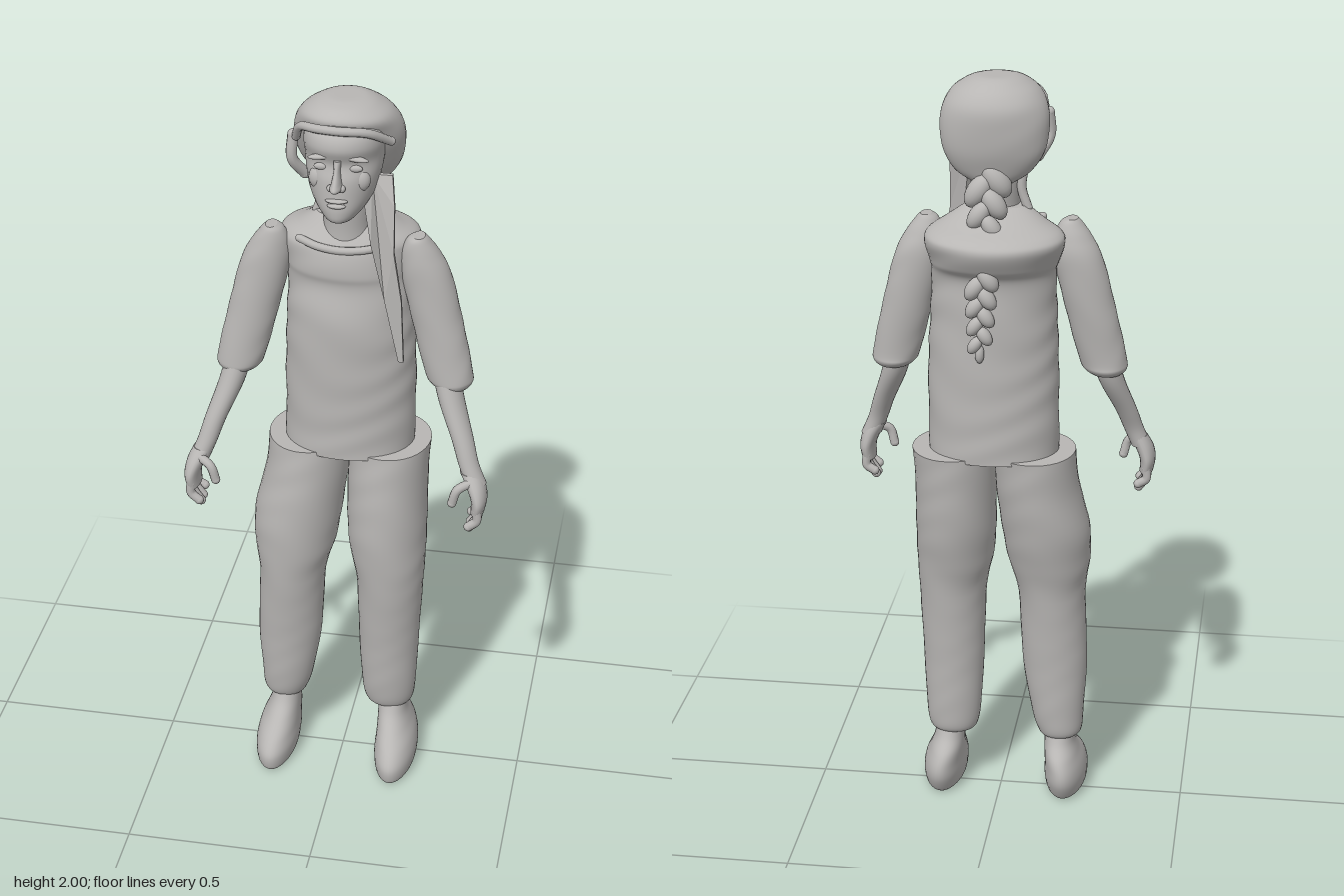
import * as THREE from 'three';

const clay = new THREE.MeshStandardMaterial({ color: 0xb8b6b4 });
clay.name = 'clay grey';
const clayThin = clay;
clayThin.side = THREE.DoubleSide;

const cubic = (a, b, c, d, t) =>
  b + 0.5 * t * (c - a + t * (2 * a - 5 * b + 4 * c - d + t * (3 * (b - c) + d - a)));

// Smooth vertical loft; each section is [y, xMin, xMax, zBack, zFront], bottom to top
function loft(sections, { side = 1, dx = 0, ripple = 0, steps = 6, n = 36 } = {}) {
  const rows = [];
  const last = sections.length - 1;
  for (let i = 0; i < last; i++) {
    const [a, b, c, d] = [i - 1, i, i + 1, i + 2].map(k => sections[Math.min(last, Math.max(0, k))]);
    for (let s = 0; s < steps; s++) rows.push(b.map((_, k) => cubic(a[k], b[k], c[k], d[k], s / steps)));
  }
  rows.push(sections[last]);
  const pos = [], idx = [];
  const ring = ([y, x0, x1, z0, z1]) => {
    for (let j = 0; j < n; j++) {
      const a = (j / n) * Math.PI * 2;
      const r = 1 + ripple * Math.sin(y * 55 + 2.5 * Math.sin(a * 2 + y * 9));
      pos.push(side * (x0 + x1) / 2 + dx + Math.cos(a) * r * (x1 - x0) / 2, y,
        (z0 + z1) / 2 + Math.sin(a) * r * (z1 - z0) / 2);
    }
  };
  rows.forEach(ring);
  for (let i = 0; i < rows.length - 1; i++)
    for (let j = 0; j < n; j++) {
      const a = i * n + j, b = i * n + (j + 1) % n;
      idx.push(a, a + n, b, b, a + n, b + n);
    }
  // flat end caps with their own vertices
  for (const [row, top] of [[rows[0], false], [rows[rows.length - 1], true]]) {
    const start = pos.length / 3;
    ring(row);
    pos.push(side * (row[1] + row[2]) / 2 + dx, row[0], (row[3] + row[4]) / 2);
    for (let j = 0; j < n; j++) {
      const a = start + j, b = start + (j + 1) % n;
      idx.push(start + n, ...(top ? [b, a] : [a, b]));
    }
  }
  const g = new THREE.BufferGeometry();
  g.setAttribute('position', new THREE.Float32BufferAttribute(pos, 3));
  g.setIndex(idx);
  g.computeVertexNormals();
  return g;
}

export function createModel() {
  const model = new THREE.Group();
  model.name = 'standingFigure';
  const add = (name, geometry, parent = model) => {
    const m = new THREE.Mesh(geometry, clay);
    m.name = name;
    parent.add(m);
    return m;
  };
  const ball = (name, p, s, rotZ = 0) => {
    const m = add(name, new THREE.SphereGeometry(1, 20, 14));
    m.position.set(...p);
    m.scale.set(...s);
    m.rotation.z = rotZ;
    return m;
  };
  const tube = (name, pts, r) => {
    add(name, new THREE.TubeGeometry(
      new THREE.CatmullRomCurve3(pts.map(p => new THREE.Vector3(...p))), 16, r, 10));
    for (const p of [pts[0], pts[pts.length - 1]]) ball(name + 'Tip', p, [r, r, r]);
  };

  // Shirt body with a fuller yoke and sloping shoulders
  add('shirt', loft([
    [1.01, -0.155, 0.185, -0.15, 0.1], [1.1, -0.155, 0.187, -0.15, 0.1],
    [1.25, -0.153, 0.187, -0.15, 0.105], [1.4, -0.148, 0.18, -0.15, 0.108],
    [1.5, -0.145, 0.175, -0.15, 0.092], [1.54, -0.155, 0.18, -0.175, 0.095],
    [1.59, -0.168, 0.187, -0.198, 0.09], [1.615, -0.16, 0.182, -0.18, 0.08],
    [1.64, -0.12, 0.145, -0.125, 0.06], [1.675, -0.07, 0.09, -0.06, 0.03],
  ], { ripple: 0.008, steps: 10, n: 48 }));
  tube('collarEdge', [[-0.1, 1.625, 0.06], [-0.05, 1.615, 0.078], [0.01, 1.61, 0.083],
    [0.07, 1.615, 0.078], [0.12, 1.625, 0.06]], 0.01);

  // Trouser legs, listed separately as the stance is uneven
  const legs = {
    right: [
      [0.17, -0.2, -0.118, -0.04, 0.03], [0.185, -0.222, -0.105, -0.062, 0.05],
      [0.25, -0.228, -0.085, -0.07, 0.065], [0.4, -0.235, -0.06, -0.076, 0.08],
      [0.6, -0.228, -0.047, -0.092, 0.105], [0.7, -0.24, -0.02, -0.112, 0.113],
      [0.8, -0.238, -0.004, -0.135, 0.115], [0.92, -0.21, 0.01, -0.148, 0.108],
      [1.02, -0.2, 0.015, -0.155, 0.098]],
    left: [
      [0.17, 0.085, 0.175, -0.04, 0.03], [0.185, 0.066, 0.195, -0.062, 0.05],
      [0.25, 0.055, 0.205, -0.07, 0.065], [0.4, 0.047, 0.212, -0.076, 0.08],
      [0.6, 0.04, 0.222, -0.092, 0.105], [0.7, 0.02, 0.226, -0.112, 0.113],
      [0.8, 0.012, 0.226, -0.135, 0.115], [0.92, 0.012, 0.225, -0.148, 0.108],
      [1.02, 0.013, 0.23, -0.155, 0.098]],
  };
  for (const key in legs) add(key + 'TrouserLeg', loft(legs[key], { ripple: 0.006 }));

  for (const side of [-1, 1]) {
    const word = side < 0 ? 'right' : 'left';
    const shift = side < 0 ? 0 : 0.015;

    // Shoe
    add(word + 'Shoe', loft([
      [0, 0.138, 0.217, -0.075, 0.16], [0.012, 0.125, 0.233, -0.09, 0.172],
      [0.05, 0.12, 0.237, -0.11, 0.174], [0.085, 0.122, 0.23, -0.112, 0.148],
      [0.12, 0.122, 0.215, -0.098, 0.1], [0.155, 0.122, 0.203, -0.065, 0.062],
      [0.2, 0.122, 0.2, -0.045, 0.04],
    ], { side, dx: side < 0 ? 0 : -0.02 }));

    // Sleeve and forearm
    add(word + 'Sleeve', loft([
      [1.22, 0.235, 0.312, -0.015, 0.06], [1.235, 0.215, 0.325, -0.03, 0.072],
      [1.265, 0.2, 0.325, -0.03, 0.072], [1.4, 0.165, 0.295, -0.042, 0.065],
      [1.53, 0.135, 0.262, -0.046, 0.06], [1.59, 0.135, 0.232, -0.035, 0.055],
      [1.625, 0.148, 0.207, -0.02, 0.048], [1.637, 0.165, 0.195, -0.01, 0.04],
    ], { side, dx: shift, ripple: 0.01 }));
    add(word + 'Forearm', loft([
      [0.99, 0.335, 0.39, 0.08, 0.142], [1.04, 0.315, 0.368, 0.075, 0.13],
      [1.1, 0.293, 0.35, 0.05, 0.115], [1.19, 0.253, 0.32, 0.005, 0.088],
      [1.27, 0.23, 0.3, -0.015, 0.065],
    ], { side, dx: shift / 3, n: 24 }));

    // Hand with curled fingers
    add(word + 'Palm', loft([
      [0.915, 0.358, 0.394, 0.078, 0.165], [0.95, 0.358, 0.4, 0.072, 0.17],
      [0.985, 0.345, 0.394, 0.075, 0.158], [1.02, 0.325, 0.378, 0.08, 0.135],
    ], { side, n: 20 }));
    [0.088, 0.11, 0.133, 0.155].forEach((z, i) => {
      const tip = [0.885, 0.868, 0.865, 0.88][i];
      tube(word + 'Finger', [[side * 0.378, 0.93, z], [side * 0.378, 0.9, z],
        [side * 0.357, tip, z]], 0.012);
    });
    tube(word + 'Thumb', [[side * 0.355, 1.0, 0.135], [side * 0.325, 0.985, 0.15],
      [side * 0.312, 0.945, 0.15]], 0.012);

    // Eye, brow and nostril wing
    ball(word + 'Eye', [0.013 + side * 0.042, 1.862, 0.138], [0.018, 0.009, 0.008]);
    ball(word + 'Brow', [0.013 + side * 0.043, 1.888, 0.14], [0.032, 0.007, 0.011], -side * 0.12);
    ball(word + 'Nostril', [0.013 + side * 0.013, 1.819, 0.166], [0.01, 0.009, 0.012]);
    ball(word + 'Cheek', [0.013 + side * 0.05, 1.825, 0.12], [0.026, 0.03, 0.022]);
  }

  // Neck and head
  add('neck', loft([
    [1.58, -0.055, 0.08, -0.05, 0.07], [1.65, -0.048, 0.072, -0.05, 0.068],
    [1.72, -0.05, 0.078, -0.06, 0.074], [1.8, -0.055, 0.085, -0.07, 0.08],
  ]));
  add('face', loft([
    [1.715, -0.01, 0.036, 0.06, 0.135], [1.725, -0.027, 0.053, 0.02, 0.162],
    [1.75, -0.05, 0.076, -0.02, 0.168], [1.785, -0.07, 0.095, -0.05, 0.165],
    [1.83, -0.08, 0.106, -0.06, 0.16], [1.87, -0.085, 0.111, -0.06, 0.148],
    [1.91, -0.087, 0.113, -0.06, 0.16], [1.945, -0.08, 0.106, -0.06, 0.148],
    [1.97, -0.05, 0.076, -0.03, 0.11],
  ]));
  add('nose', loft([
    [1.808, 0.007, 0.019, 0.15, 0.17], [1.82, -0.002, 0.028, 0.13, 0.2],
    [1.835, 0.001, 0.025, 0.13, 0.193], [1.86, 0.005, 0.021, 0.13, 0.172],
    [1.885, 0.003, 0.023, 0.13, 0.16],
  ], { n: 20 }));
  ball('upperLip', [0.013, 1.784, 0.162], [0.028, 0.006, 0.012]);
  ball('lowerLip', [0.013, 1.771, 0.162], [0.023, 0.007, 0.012]);

  // Hair swept back from the face
  add('hair', loft([
    [1.74, -0.035, 0.06, -0.08, -0.02], [1.77, -0.08, 0.11, -0.092, 0.0],
    [1.82, -0.115, 0.142, -0.108, 0.035], [1.88, -0.124, 0.152, -0.116, 0.075],
    [1.93, -0.118, 0.146, -0.114, 0.105], [1.965, -0.098, 0.126, -0.095, 0.125],
    [1.988, -0.066, 0.092, -0.065, 0.105], [1.998, -0.04, 0.065, -0.04, 0.07],
    [2, -0.02, 0.045, -0.02, 0.045],
  ], { ripple: 0.004 }));
  tube('fringe', [[-0.105, 1.9, 0.06], [-0.09, 1.94, 0.09], [-0.04, 1.955, 0.132],
    [0.02, 1.957, 0.143], [0.08, 1.95, 0.125], [0.13, 1.91, 0.07]], 0.011);
  tube('sideLock', [[-0.115, 1.9, 0.05], [-0.117, 1.84, 0.055], [-0.09, 1.79, 0.03]], 0.014);
  tube('looseLock', [[-0.06, 1.77, -0.02], [-0.055, 1.72, -0.02], [-0.07, 1.67, -0.02]], 0.012);

  // Flat tapering strand over the left shoulder
  const strand = new THREE.Shape([[0.085, 1.82], [0.07, 1.75], [0.09, 1.65], [0.125, 1.5],
    [0.162, 1.33], [0.175, 1.33], [0.168, 1.5], [0.148, 1.63], [0.145, 1.75], [0.135, 1.82]]
    .map(p => new THREE.Vector2(...p)));
  const strandGeo = new THREE.ExtrudeGeometry(strand, { depth: 0.012, bevelEnabled: false });
  const sp = strandGeo.attributes.position;
  for (let i = 0; i < sp.count; i++)
    sp.setZ(i, sp.getZ(i) + 0.108 - Math.max(0, sp.getY(i) - 1.7) * 0.4);
  strandGeo.computeVertexNormals();
  add('frontStrand', strandGeo);

  // Braid down the back, made of alternating plaits
  const plait = (count, from, to, size) => {
    for (let i = 0; i < count; i++) {
      const t = i / (count - 1), s = i % 2 ? 1 : -1;
      const p = from.map((v, k) => v + (to[k] - v) * t);
      const r = size * (1 - 0.3 * t);
      ball('braidPlait', [p[0] + s * r * 0.55, p[1], p[2]], [r * 0.75, r * 1.25, r * 0.8], s * 0.6);
    }
  };
  plait(5, [0.025, 1.755, -0.075], [0.025, 1.64, -0.115], 0.042);
  plait(8, [0.03, 1.52, -0.158], [0.035, 1.345, -0.16], 0.03);
  ball('braidEnd', [0.035, 1.32, -0.155], [0.012, 0.025, 0.014]);

  return model;
}
